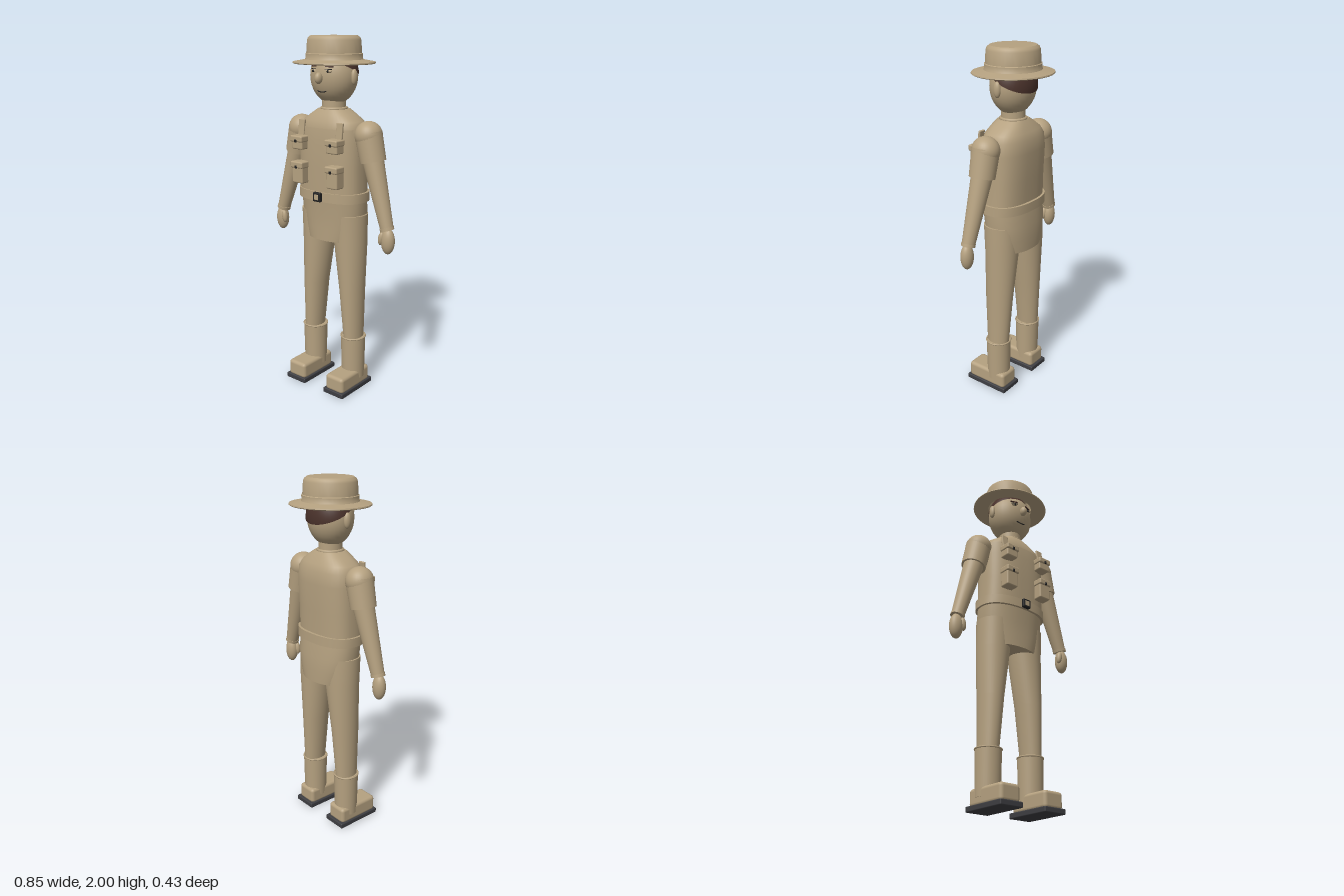
import * as THREE from 'three';
import { toCreasedNormals } from 'three/addons/utils/BufferGeometryUtils.js';
import { RoundedBoxGeometry } from 'three/addons/geometries/RoundedBoxGeometry.js';

const material = (name, color, side = THREE.FrontSide) => {
  const m = new THREE.MeshStandardMaterial({ color, side });
  m.name = name;
  return m;
};

// Stacked rounded cross-sections, bottom to top: [y, rx, rz, cx, cz]
function loft(sections, power = 2, from = 0, to = 360, n = 40) {
  const pos = [], idx = [], closed = to - from === 360;
  const cols = closed ? n : n + 1;
  const point = ([y, rx, rz, cx = 0, cz = 0], j) => {
    const a = THREE.MathUtils.degToRad(from + (to - from) * j / n);
    const c = Math.cos(a), s = Math.sin(a), e = 2 / power;
    pos.push(cx + rx * Math.sign(c) * Math.abs(c) ** e, y, cz + rz * Math.sign(s) * Math.abs(s) ** e);
  };
  sections.forEach((s) => { for (let j = 0; j < cols; j++) point(s, j); });
  for (let i = 0; i < sections.length - 1; i++) {
    for (let j = 0; j < n; j++) {
      const a = i * cols + j, b = i * cols + (j + 1) % cols, c = a + cols, d = b + cols;
      idx.push(a, c, b, b, c, d);
    }
  }
  // End caps
  if (closed) [sections[0], sections[sections.length - 1]].forEach((s, top) => {
    const k = pos.length / 3;
    pos.push(s[3] || 0, s[0], s[4] || 0);
    for (let j = 0; j < n; j++) point(s, j);
    for (let j = 0; j < n; j++) {
      const p = k + 1 + j, q = k + 1 + (j + 1) % n;
      idx.push(k, top ? q : p, top ? p : q);
    }
  });
  const g = new THREE.BufferGeometry();
  g.setAttribute('position', new THREE.Float32BufferAttribute(pos, 3));
  g.setIndex(idx);
  g.computeVertexNormals();
  return g;
}

export function createModel() {
  const khaki = material('khaki', 0xb5a180, THREE.DoubleSide);
  const hairBrown = material('hair brown', 0x4a322b);
  const rubber = material('dark rubber', 0x3e3e42);
  const black = material('black', 0x222222);
  const model = new THREE.Group();
  model.name = 'hatted figure';

  const add = (name, geo, mat, x = 0, y = 0, z = 0, parent = model) => {
    const m = new THREE.Mesh(geo, mat);
    m.name = name;
    m.position.set(x, y, z);
    parent.add(m);
    return m;
  };
  const ball = (name, mat, x, y, z, rx, ry, rz, parent) =>
    add(name, new THREE.SphereGeometry(1, 32, 20).scale(rx, ry, rz), mat, x, y, z, parent);
  const box = (w, h, d, r) => new RoundedBoxGeometry(w, h, d, 2, r);
  const limb = (name, p, q, r1, r2, parent) => {
    const a = new THREE.Vector3(...p), b = new THREE.Vector3(...q), dir = b.clone().sub(a);
    const m = add(name, new THREE.CylinderGeometry(r2, r1, dir.length(), 32), khaki, 0, 0, 0, parent);
    m.position.copy(a).add(b).multiplyScalar(0.5);
    m.quaternion.setFromUnitVectors(new THREE.Vector3(0, 1, 0), dir.normalize());
    return m;
  };

  // Torso, vest front, hips and belt
  const torso = [
    [1.14, 0.2, 0.12], [1.3, 0.198, 0.125], [1.45, 0.2, 0.13, 0, -0.003], [1.52, 0.195, 0.123, 0, -0.003],
    [1.555, 0.175, 0.11], [1.59, 0.125, 0.092], [1.615, 0.085, 0.075],
  ];
  add('torso', loft(torso, 2.6), khaki);
  const vest = torso.slice(0, 4).map(([y, rx, rz, cx, cz]) => [y, rx + 0.004, rz + 0.006, cx, cz]);
  add('vestFront', loft(vest, 2.6, 25, 155), khaki);
  add('hips', loft([[0.89, 0.16, 0.122, 0, -0.012], [0.96, 0.185, 0.124, 0, -0.012],
    [1.04, 0.2, 0.125, 0, -0.01], [1.14, 0.203, 0.125]], 2.3), khaki);
  add('belt', loft([[1.12, 0.214, 0.137], [1.172, 0.214, 0.137]], 2.4), khaki);
  add('buckle', box(0.052, 0.052, 0.022, 0.006), black, 0, 1.146, 0.144);
  add('bucklePlate', box(0.03, 0.03, 0.008, 0.002), khaki, 0, 1.146, 0.153);

  // Neck and collar
  add('neck', new THREE.CylinderGeometry(0.064, 0.066, 0.12, 32), khaki, 0, 1.63, 0);
  add('collar', new THREE.TorusGeometry(0.067, 0.009, 10, 36).rotateX(Math.PI / 2), khaki, 0, 1.617, 0);

  // Head, hair and face
  ball('head', khaki, 0, 1.79, 0, 0.135, 0.153, 0.119);
  add('hair', new THREE.SphereGeometry(1, 36, 16, 0, Math.PI * 2, 0, 1.38)
    .rotateX(-0.36).scale(0.139, 0.157, 0.125), hairBrown, 0, 1.79, 0);
  ball('nose', khaki, 0, 1.782, 0.128, 0.02, 0.03, 0.024);
  const smile = new THREE.QuadraticBezierCurve3(new THREE.Vector3(-0.03, 1.715, 0.1),
    new THREE.Vector3(0, 1.703, 0.108), new THREE.Vector3(0.03, 1.715, 0.1));
  add('mouth', new THREE.TubeGeometry(smile, 12, 0.003, 6), black);

  for (const s of [1, -1]) {
    ball('ear', khaki, s * 0.136, 1.787, 0, 0.017, 0.042, 0.021);
    ball('eye', khaki, s * 0.05, 1.818, 0.105, 0.02, 0.009, 0.01);
    ball('pupil', black, s * 0.05, 1.818, 0.113, 0.007, 0.007, 0.004);
    const lid = add('eyelid', box(0.042, 0.003, 0.006, 0.001), black, s * 0.05, 1.828, 0.109);
    const brow = add('eyebrow', box(0.046, 0.006, 0.008, 0.002), hairBrown, s * 0.052, 1.842, 0.104);
    lid.rotation.y = brow.rotation.y = s * 0.35;
  }

  // Hat: flat brim, crown with a band, shallow flat top
  const profile = [[0.135, 1.862], [0.222, 1.853], [0.228, 1.857], [0.226, 1.863], [0.16, 1.875],
    [0.157, 1.88], [0.157, 1.905], [0.152, 1.908], [0.147, 1.975], [0.141, 1.988], [0.127, 1.998], [0, 2]]
    .map(([r, y]) => new THREE.Vector2(r, y));
  add('hat', toCreasedNormals(new THREE.LatheGeometry(profile, 48), 0.6), khaki).scale.z = 0.945;

  // Vest pockets, flaps, snaps and shoulder straps
  const pocket = (s, y, h, flap) => {
    const g = new THREE.Group();
    g.name = 'pocket';
    g.position.set(s * 0.121, y, 0);
    model.add(g);
    add('pouch', box(0.075, h, 0.062, 0.008), khaki, 0, 0, 0.142, g);
    add('pocketFlap', box(0.085, flap, 0.072, 0.008), khaki, 0, (h - flap) / 2 + 0.003, 0.146, g);
    add('snap', box(0.013, 0.016, 0.01, 0.003), black, 0, h / 2 - flap * 0.72, 0.182, g);
  };
  for (const s of [1, -1]) {
    pocket(s, 1.435, 0.072, 0.034);
    pocket(s, 1.27, 0.118, 0.036);
    const strap = add('strap', box(0.042, 0.1, 0.014, 0.004), khaki, s * 0.132, 1.508, 0.116);
    strap.rotation.x = -0.12;
  }

  // Arms and legs, mirrored across the middle
  for (const s of [1, -1]) {
    const arm = new THREE.Group();
    arm.name = s > 0 ? 'leftArm' : 'rightArm';
    model.add(arm);
    ball('shoulder', khaki, s * 0.235, 1.49, 0, 0.075, 0.076, 0.077, arm);
    limb('sleeve', [s * 0.233, 1.5, 0], [s * 0.268, 1.353, 0], 0.075, 0.07, arm);
    limb('forearm', [s * 0.262, 1.38, 0], [s * 0.376, 1, 0.014], 0.059, 0.036, arm);
    limb('cuff', [s * 0.372, 1.013, 0.014], [s * 0.377, 0.997, 0.014], 0.039, 0.039, arm);
    ball('hand', khaki, s * 0.384, 0.938, 0.016, 0.039, 0.072, 0.034, arm);
    ball('thumb', khaki, s * 0.352, 0.952, 0.034, 0.017, 0.038, 0.017, arm).rotation.z = s * -0.15;

    const leg = new THREE.Group();
    leg.name = s > 0 ? 'leftLeg' : 'rightLeg';
    model.add(leg);
    add('trouserLeg', loft([[0.28, 0.05, 0.066, s * 0.147], [0.6, 0.068, 0.083, s * 0.133, -0.002],
      [0.88, 0.094, 0.095, s * 0.114, -0.008], [1.045, 0.1, 0.1, s * 0.11, -0.005]]), khaki, 0, 0, 0, leg);
    add('bootShaft', new THREE.CylinderGeometry(0.071, 0.066, 0.25, 32), khaki, s * 0.143, 0.19, 0, leg);
    add('bootRim', new THREE.TorusGeometry(0.07, 0.005, 8, 32).rotateX(Math.PI / 2), khaki,
      s * 0.143, 0.314, 0, leg);
    add('bootFoot', box(0.126, 0.095, 0.258, 0.02), khaki, s * 0.142, 0.068, 0.051, leg);
    add('sole', box(0.142, 0.03, 0.28, 0.006), rubber, s * 0.142, 0.015, 0.048, leg);
  }
  return model;
}
